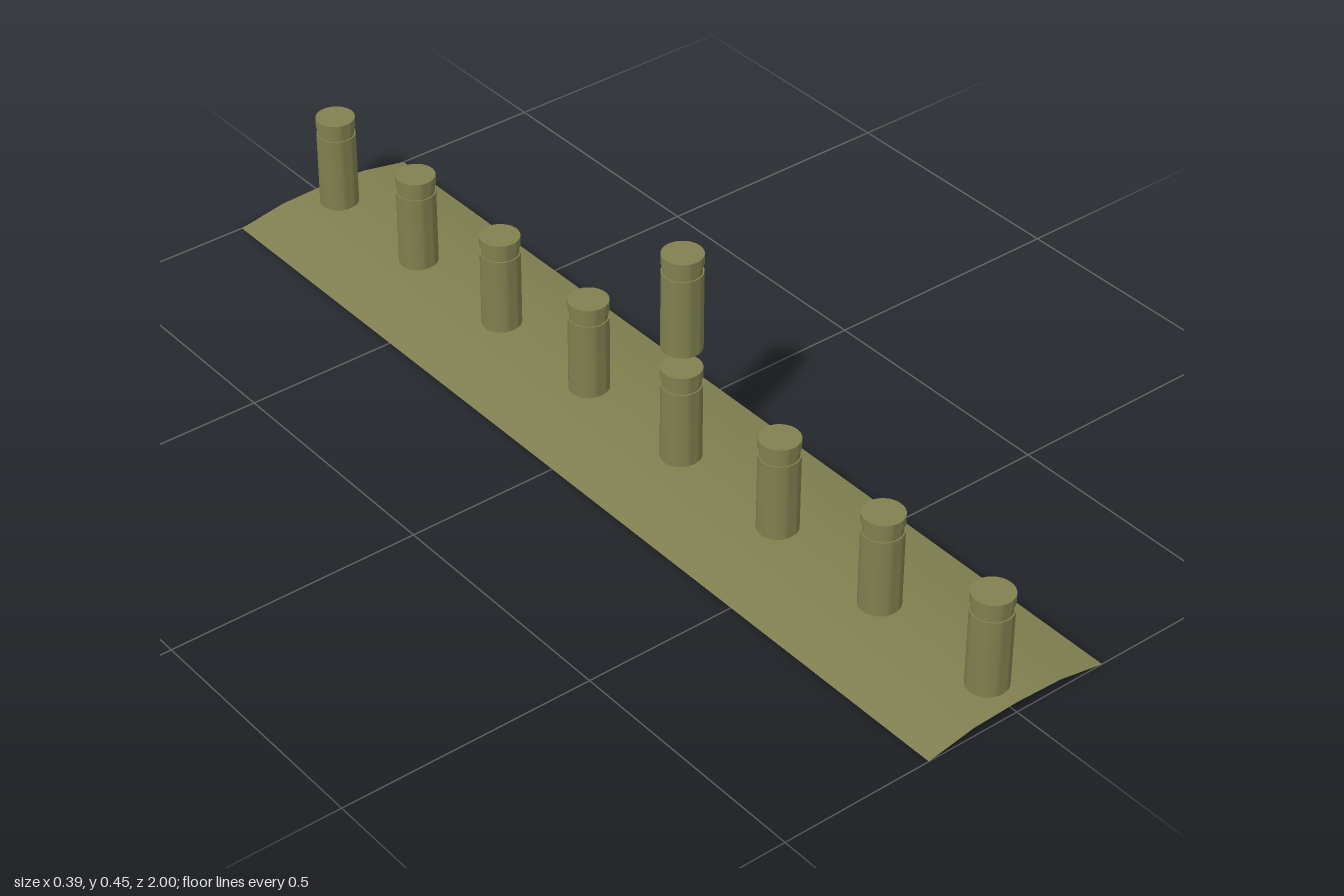
import * as THREE from 'three';
import { toCreasedNormals } from 'three/addons/utils/BufferGeometryUtils.js';

const olive = new THREE.MeshStandardMaterial({ color: 0x808050 });
const oliveSheet = new THREE.MeshStandardMaterial({ color: 0x808050, side: THREE.DoubleSide });

// Thin sheet, gently arched across its width
function makeSheet() {
  const profile = [[-0.195, 0], [-0.098, 0.018], [0, 0.022], [0.098, 0.018], [0.195, 0]];
  const geometry = new THREE.PlaneGeometry(0.39, 2, profile.length - 1, 1).rotateX(-Math.PI / 2);
  const pos = geometry.attributes.position;
  for (let i = 0; i < pos.count; i++) {
    const [x, y] = profile[i % profile.length];
    pos.setX(i, x);
    pos.setY(i, y);
  }
  geometry.computeVertexNormals();
  return new THREE.Mesh(geometry, oliveSheet);
}

// Round post with a groove below its cap, closed at both ends
function makePostGeometry() {
  const body = 0.0384, neck = 0.0358;
  const profile = [
    [0, 0], [body, 0], [body, 0.16], [neck, 0.16],
    [neck, 0.177], [body, 0.177], [body, 0.196], [0, 0.196],
  ].map(([r, y]) => new THREE.Vector2(r, y));
  return toCreasedNormals(new THREE.LatheGeometry(profile, 32), Math.PI / 5);
}

export function createModel() {
  const model = new THREE.Group();
  model.name = 'postRow';

  const sheet = makeSheet();
  sheet.name = 'archedSheet';
  model.add(sheet);

  const geometry = makePostGeometry();
  const addPost = (name, y, z) => {
    const post = new THREE.Mesh(geometry, olive);
    post.name = name;
    post.position.set(-0.0045, y, z);
    model.add(post);
  };

  // Row of eight posts, their feet just through the sheet
  for (let i = 0; i < 8; i++) addPost(`post${i + 1}`, 0.018, 0.932 - i * 0.267);

  // Spare post floating above the fourth one
  addPost('floatingPost', 0.258, 0.932 - 3 * 0.267);

  return model;
}
